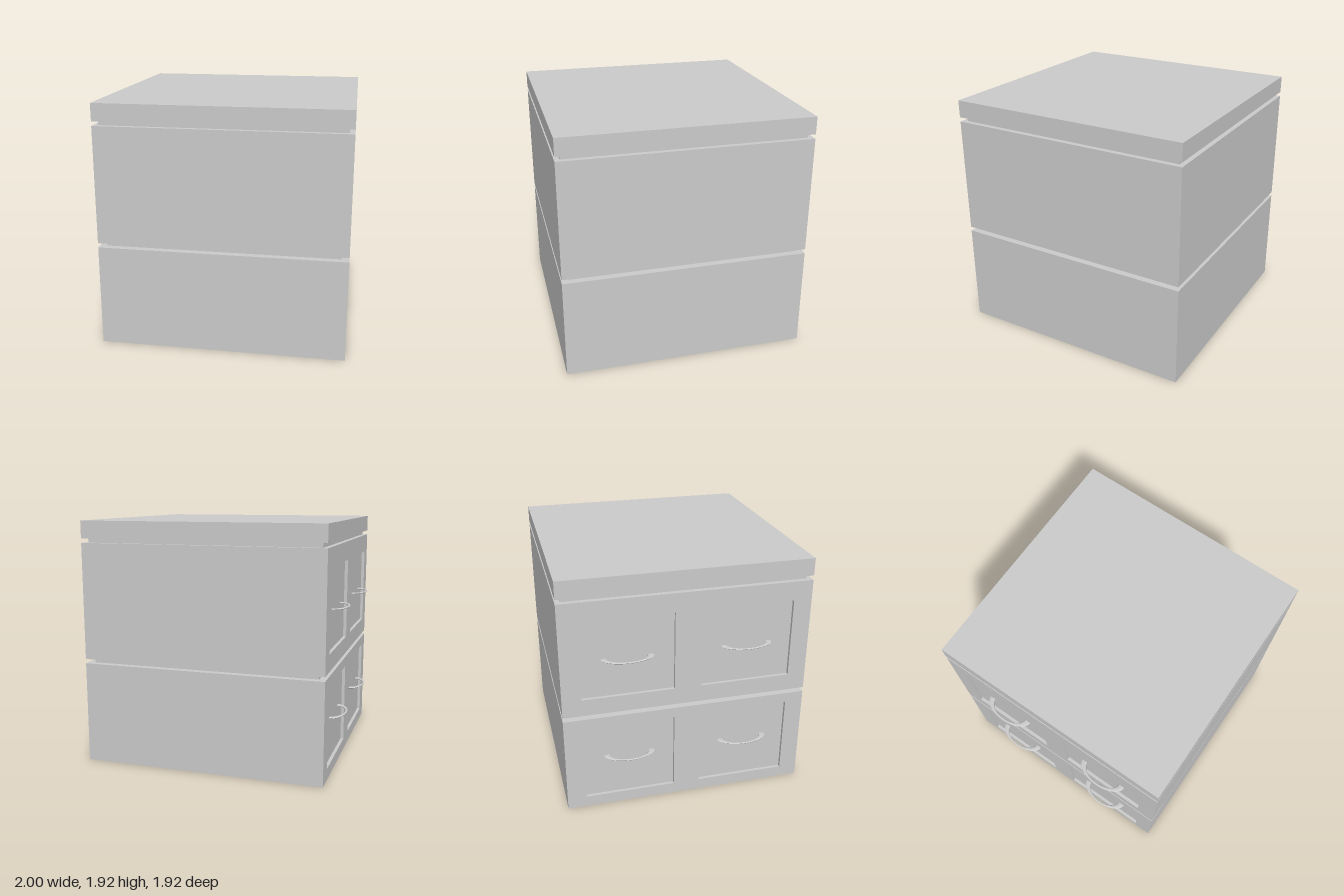
import * as THREE from 'three';

const FACE = -0.92, BACK = 1.0, HALF = 0.96, RECESS = 0.025;
const FLOOR = FACE + RECESS;
const PANEL_W = 0.71, PANEL_H = 0.63, PANEL_Z = [-0.455, 0.463];

const material = new THREE.MeshStandardMaterial({ color: 0xcccccc });

function addMesh(parent, name, geometry) {
  const mesh = new THREE.Mesh(geometry, material);
  mesh.name = name;
  parent.add(mesh);
  return mesh;
}

// box given by its limits in x and y, symmetric in z
function addBlock(parent, name, x0, x1, y0, y1, halfZ) {
  const mesh = addMesh(parent, name, new THREE.BoxGeometry(x1 - x0, y1 - y0, halfZ * 2));
  mesh.position.set((x0 + x1) / 2, (y0 + y1) / 2, 0);
}

function rectangle(path, x0, y0, x1, y1) {
  path.moveTo(x0, y0).lineTo(x1, y0).lineTo(x1, y1).lineTo(x0, y1).closePath();
  return path;
}

// drawer face frame: a plate with two openings
function frameGeometry(y0, y1, panelY) {
  const shape = rectangle(new THREE.Shape(), -HALF, y0, HALF, y1);
  for (const z of PANEL_Z) {
    shape.holes.push(rectangle(new THREE.Path(),
      z - PANEL_W / 2, panelY - PANEL_H / 2, z + PANEL_W / 2, panelY + PANEL_H / 2));
  }
  return new THREE.ExtrudeGeometry(shape, { depth: RECESS, bevelEnabled: false })
    .rotateY(-Math.PI / 2).translate(FLOOR, 0, 0);
}

// flattened half ring, slim at the middle and wide at the ends
function handleGeometry() {
  const geometry = new THREE.TorusGeometry(1, 0.5, 10, 32, Math.PI);
  const p = geometry.attributes.position;
  for (let i = 0; i < p.count; i++) {
    const radius = Math.hypot(p.getX(i), p.getY(i));
    const c = p.getX(i) / radius, s = p.getY(i) / radius, k = radius - 1;
    p.setXYZ(i, -(0.0965 + 0.017 * k) * s, 0.012 * p.getZ(i), -(0.175 + 0.05 * k) * c);
  }
  // the squash mirrors the surface when its determinant is negative
  const a = new THREE.Vector3(), b = new THREE.Vector3(), d = new THREE.Vector3();
  const index = geometry.index;
  let volume = 0;
  for (let i = 0; i < index.count; i += 3) {
    a.fromBufferAttribute(p, index.getX(i));
    b.fromBufferAttribute(p, index.getX(i + 1));
    d.fromBufferAttribute(p, index.getX(i + 2));
    volume += a.dot(b.cross(d));
  }
  if (volume < 0) geometry.setIndex(Array.from(index.array).reverse());
  geometry.computeVertexNormals();
  return geometry;
}

export function createModel() {
  const model = new THREE.Group();
  model.name = 'drawerCabinet';
  const handle = handleGeometry();

  // two drawer tiers, each with a framed face and two recessed drawers
  const tiers = [
    { name: 'lowerTier', y0: 0, y1: 0.8, panelY: 0.405, handleY: 0.435 },
    { name: 'upperTier', y0: 0.835, y1: 1.75, panelY: 1.285, handleY: 1.275 },
  ];
  for (const t of tiers) {
    const tier = new THREE.Group();
    tier.name = t.name;
    model.add(tier);
    addBlock(tier, 'body', FLOOR, BACK, t.y0, t.y1, HALF);
    addMesh(tier, 'drawerFrame', frameGeometry(t.y0, t.y1, t.panelY));
    for (const z of PANEL_Z) {
      addMesh(tier, 'drawerHandle', handle).position.set(FLOOR - 0.0005, t.handleY, z);
    }
  }

  // inset spacers between the tiers and under the lid
  addBlock(model, 'middleSpacer', -0.865, 0.945, 0.8, 0.835, 0.905);
  addBlock(model, 'topSpacer', -0.88, 0.96, 1.75, 1.785, 0.92);
  addBlock(model, 'lid', FACE, BACK, 1.785, 1.92, HALF);
  return model;
}
